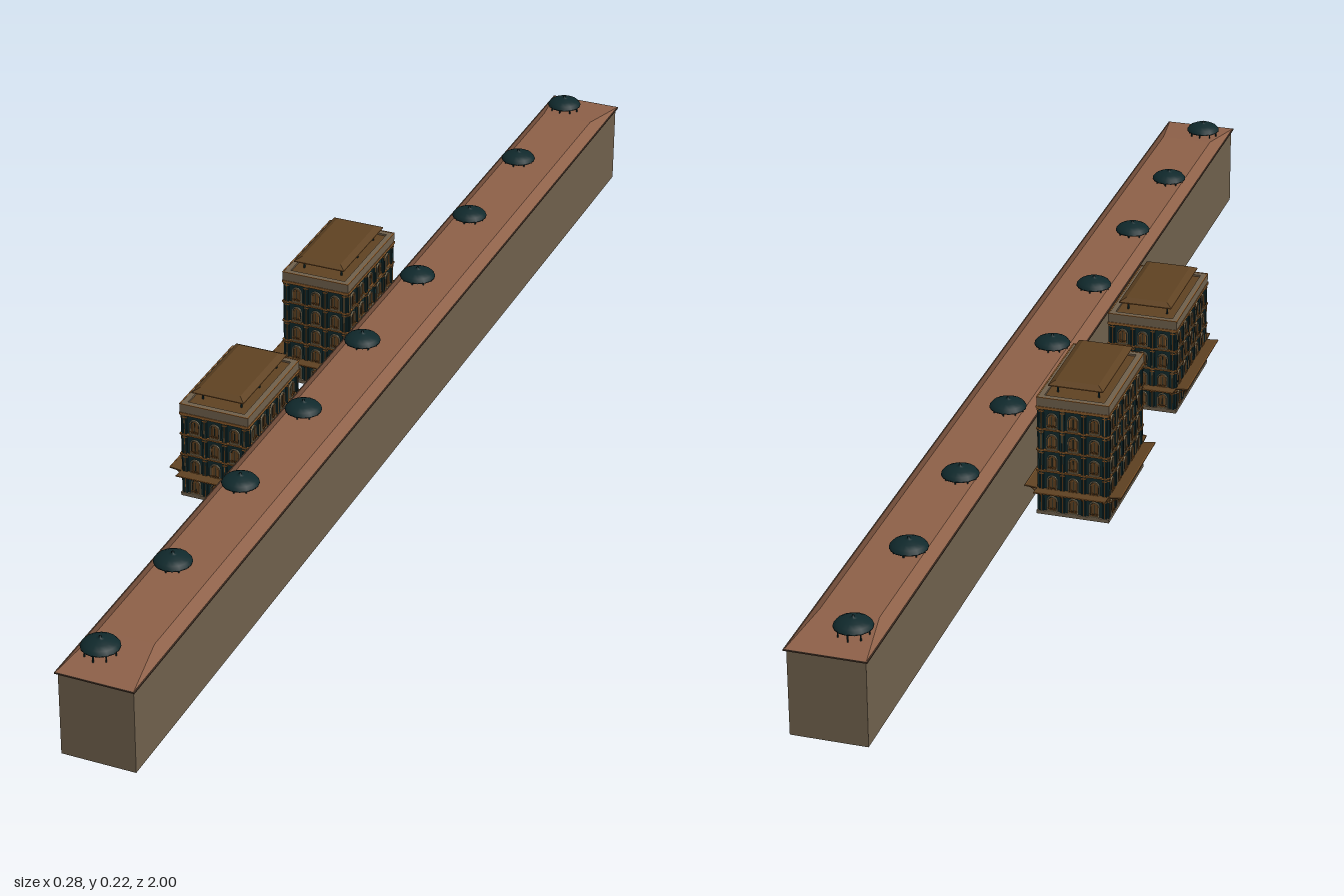
import * as THREE from 'three';

const mat = (name, color) => {
  const m = new THREE.MeshStandardMaterial({ color });
  m.name = name;
  return m;
};

export function createModel() {
  const stone = mat('stone', 0x6f604c);
  const tile = mat('roofTile', 0x8d6048);
  const teal = mat('darkTeal', 0x10292c);
  const wood = mat('wood', 0x5f4222);
  const trim = mat('ochreTrim', 0x8a5a2a);
  const frame = mat('paleFrame', 0x85795f);
  const eaves = mat('eaves', 0x4a372a);

  const model = new THREE.Group();
  model.name = 'avenueBuildings';

  const add = (parent, name, geo, m, x = 0, y = 0, z = 0) => {
    const mesh = new THREE.Mesh(geo, m);
    mesh.name = name;
    mesh.position.set(x, y, z);
    parent.add(mesh);
    return mesh;
  };
  // Box standing on height y
  const box = (parent, name, m, w, h, d, x, y, z) =>
    add(parent, name, new THREE.BoxGeometry(w, h, d), m, x, y + h / 2, z);
  // Box whose top is drawn in on each side, for hipped roofs
  const hip = (parent, name, m, w, h, d, insetX, insetZ, x, y, z) => {
    const g = new THREE.BoxGeometry(w, h, d);
    const p = g.attributes.position;
    for (let i = 0; i < p.count; i++) {
      if (p.getY(i) > 0) {
        p.setX(i, p.getX(i) - Math.sign(p.getX(i)) * insetX);
        p.setZ(i, p.getZ(i) - Math.sign(p.getZ(i)) * insetZ);
      }
    }
    g.computeVertexNormals();
    return add(parent, name, g, m, x, y + h / 2, z);
  };

  // Long hall with hipped roof
  const hall = new THREE.Group();
  hall.name = 'longHall';
  hall.position.x = 0.077;
  model.add(hall);
  box(hall, 'hallWalls', stone, 0.117, 0.138, 1.99, 0, 0, 0);
  box(hall, 'hallEaves', eaves, 0.124, 0.002, 2, 0, 0.138, 0);
  hip(hall, 'hallRoof', tile, 0.12, 0.012, 1.996, 0.016, 0.1, 0, 0.14, 0);

  // Row of domed pavilions on the roof
  const domeGeo = new THREE.LatheGeometry([
    [0, 0.157], [0.029, 0.157], [0.029, 0.159], [0.025, 0.164], [0.017, 0.168], [0.007, 0.1705],
    [0.002, 0.171], [0.0015, 0.1745], [0, 0.1755],
  ].map(([x, y]) => new THREE.Vector2(x, y)), 16);
  const postGeo = new THREE.CylinderGeometry(0.0012, 0.0012, 0.02, 6);
  for (let i = -4; i <= 4; i++) {
    const pavilion = new THREE.Group();
    pavilion.name = 'pavilion';
    pavilion.position.set(0.057, 0, i * 0.2345);
    model.add(pavilion);
    add(pavilion, 'dome', domeGeo, teal);
    for (let k = 0; k < 8; k++) {
      const a = k * Math.PI / 4;
      add(pavilion, 'pavilionPost', postGeo, teal, 0.024 * Math.cos(a), 0.148, 0.024 * Math.sin(a));
    }
  }

  // Arched outline, base on y = 0
  const arch = (Type, r, h, y = 0) => {
    const s = new Type();
    s.moveTo(-r, y);
    s.lineTo(r, y);
    s.lineTo(r, h - r);
    s.absarc(0, h - r, r, 0, Math.PI, false);
    s.lineTo(-r, y);
    return s;
  };
  const ring = (r, h, t, depth) => {
    const s = arch(THREE.Shape, r, h);
    s.holes.push(arch(THREE.Path, r - t, h - t, t));
    return new THREE.ExtrudeGeometry(s, { depth, bevelEnabled: false, curveSegments: 8 });
  };
  const outerFrame = ring(0.0088, 0.026, 0.0017, 0.0025);
  const innerFrame = ring(0.0058, 0.0215, 0.0012, 0.0018);
  const pane = new THREE.ShapeGeometry(arch(THREE.Shape, 0.0048, 0.0205), 8);
  const railGeo = new THREE.BoxGeometry(0.0006, 0.005, 0.0006);
  const PITCH = 0.036;

  // One wall of a tower, built facing +z with its surface at z = 0
  const facade = (parent, width, bays, floors) => {
    const step = (width - 0.014) / bays;
    const top = 0.007 + floors * PITCH;
    for (let b = 0; b <= bays; b++) {
      const x = (b - bays / 2) * step;
      for (const s of [-1, 1]) {
        box(parent, 'pilaster', teal, 0.0028, top - 0.004, 0.004, x + s * 0.0024, 0.004, 0.001);
      }
      box(parent, 'pilasterStrip', trim, 0.001, top - 0.004, 0.004, x, 0.004, 0.001);
    }
    for (let f = 0; f < floors; f++) {
      const y = 0.007 + f * PITCH;
      box(parent, 'floorBand', trim, width, 0.0025, 0.006, 0, y + PITCH - 0.0035, 0.001);
      for (let b = 0; b <= bays; b++) {
        box(parent, 'capital', trim, 0.008, 0.002, 0.005, (b - bays / 2) * step, y + 0.028, 0.001);
      }
      for (let b = 0; b < bays; b++) {
        const x = (b - (bays - 1) / 2) * step;
        add(parent, 'outerWindowFrame', outerFrame, frame, x, y, 0);
        add(parent, 'innerWindowFrame', innerFrame, trim, x, y + 0.0015, 0);
        add(parent, 'windowPane', pane, wood, x, y + 0.002, 0.0006);
        box(parent, 'windowMullion', teal, 0.0008, 0.019, 0.0008, x, y + 0.002, 0.0008);
        box(parent, 'balconyRail', trim, 0.015, 0.001, 0.001, x, y + 0.0055, 0.0035);
        box(parent, 'balconyFloor', frame, 0.016, 0.001, 0.005, x, y, 0.002);
        for (let k = -3; k <= 3; k++) {
          add(parent, 'baluster', railGeo, trim, x + k * 0.0022, y + 0.0033, 0.0035);
        }
      }
    }
    // Awning over the ground floor with slanting brackets
    const slab = box(parent, 'awning', wood, width, 0.002, 0.023, 0, 0.0445, 0.0115);
    slab.rotation.x = -0.1;
    box(parent, 'awningEdge', trim, width, 0.002, 0.0015, 0, 0.0458, 0.0222);
    for (let b = 0; b <= bays; b++) {
      const x = (b - bays / 2) * step;
      const strut = add(parent, 'awningBracket', new THREE.BoxGeometry(0.0015, 0.0015, 0.021), trim, x, 0.038, 0.01);
      strut.rotation.x = -0.64;
    }
  };

  const W = 0.11, D = 0.19;
  const tower = (name, z, floors) => {
    const t = new THREE.Group();
    t.name = name;
    t.position.set(-0.061, 0, z);
    model.add(t);
    const top = 0.007 + floors * PITCH;
    box(t, 'towerCore', teal, W, top, D, 0, 0, 0);
    box(t, 'plinth', stone, W + 0.007, 0.006, D + 0.007, 0, 0.0006, 0);

    // Four decorated walls
    for (let i = 0; i < 4; i++) {
      const wall = new THREE.Group();
      wall.name = 'facade';
      const long = i % 2 === 1;
      wall.rotation.y = i * Math.PI / 2;
      const off = (long ? W : D) / 2;
      wall.position.set(Math.sin(wall.rotation.y) * off, 0, Math.cos(wall.rotation.y) * off);
      t.add(wall);
      facade(wall, long ? D + 0.006 : W + 0.006, long ? 5 : 3, floors);
    }

    // Cornice, parapet and roof deck
    box(t, 'cornice', trim, W + 0.008, 0.003, D + 0.008, 0, top - 0.002, 0);
    for (const s of [-1, 1]) {
      box(t, 'parapet', stone, W + 0.006, 0.016, 0.01, 0, top, s * (D / 2 - 0.002));
      box(t, 'parapet', stone, 0.01, 0.016, D - 0.014, s * (W / 2 - 0.002), top, 0);
      box(t, 'parapetCap', trim, W + 0.007, 0.001, 0.002, 0, top + 0.0155, s * (D / 2 + 0.0025));
      box(t, 'parapetCap', trim, 0.002, 0.001, D + 0.007, s * (W / 2 + 0.0025), top + 0.0155, 0);
    }
    box(t, 'roofDeck', wood, W - 0.014, 0.013, D - 0.014, 0, top, 0);

    // Raised canopy on posts
    for (const sx of [-1, 1]) {
      for (const sz of [-1, 0, 1]) {
        box(t, 'canopyPost', teal, 0.0025, 0.02, 0.0025, sx * 0.033, top + 0.012, sz * 0.066);
      }
    }
    box(t, 'canopyEdge', trim, 0.088, 0.0015, 0.166, 0, top + 0.03, 0);
    hip(t, 'canopyRoof', wood, 0.088, 0.0055, 0.166, 0.01, 0.01, 0, top + 0.0315, 0);
  };
  tower('frontTower', 0.2125, 4);
  tower('rearTower', -0.18, 5);

  return model;
}
